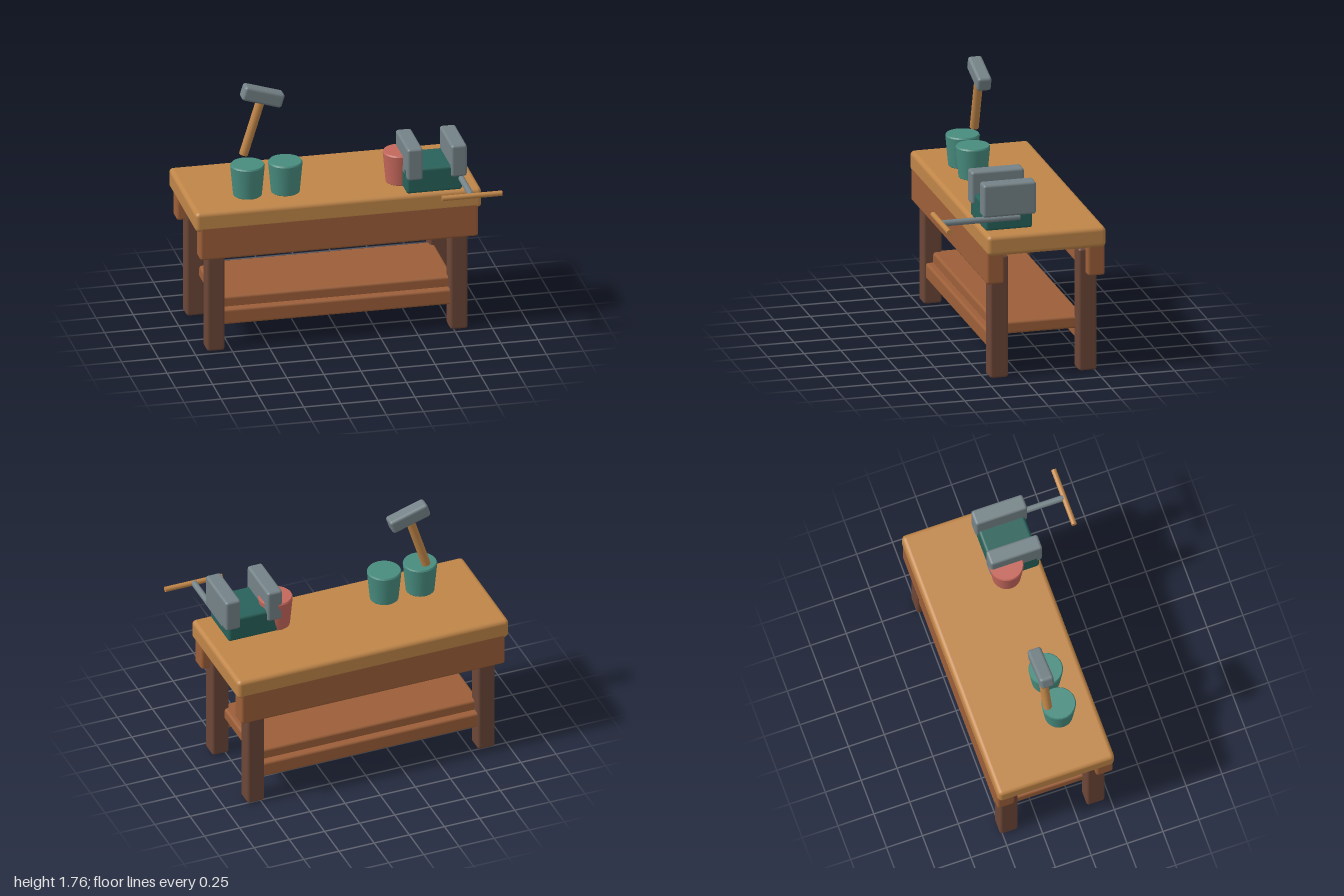
import * as THREE from 'three';
import { RoundedBoxGeometry } from 'three/addons/geometries/RoundedBoxGeometry.js';

const paint = (name, color) => {
  const m = new THREE.MeshStandardMaterial({ color });
  m.name = name;
  return m;
};

export function createModel() {
  const model = new THREE.Group();
  model.name = 'workbench';

  const lightWood = paint('light wood', 0xbf8548);
  const midWood = paint('mid wood', 0x9c5f39);
  const darkWood = paint('dark wood', 0x6b4637);
  const steel = paint('steel', 0x748287);
  const green = paint('cup green', 0x488c7f);
  const darkGreen = paint('dark green', 0x28625a);
  const red = paint('cup red', 0xc4675b);

  // Rounded box given by its limits on each axis
  function box(name, mat, [x0, x1], [y0, y1], [z0, z1], r = 0.018, parent = model) {
    const geo = new RoundedBoxGeometry(x1 - x0, y1 - y0, z1 - z0, 3, r);
    const mesh = new THREE.Mesh(geo, mat);
    mesh.name = name;
    mesh.position.set((x0 + x1) / 2, (y0 + y1) / 2, (z0 + z1) / 2);
    parent.add(mesh);
    return mesh;
  }

  // Round bar between two points
  function bar(name, mat, from, to, r, parent = model) {
    const a = new THREE.Vector3(...from), b = new THREE.Vector3(...to);
    const dir = b.clone().sub(a);
    const mesh = new THREE.Mesh(new THREE.CylinderGeometry(r, r, dir.length(), 20), mat);
    mesh.name = name;
    mesh.position.copy(a).add(b).multiplyScalar(0.5);
    mesh.quaternion.setFromUnitVectors(new THREE.Vector3(0, 1, 0), dir.normalize());
    parent.add(mesh);
  }

  // Bench top
  box('benchTop', lightWood, [-1, 0.93], [0.87, 1.01], [-0.555, 0.255], 0.03);

  // Front and back: apron, low rail and a pair of legs, mirrored about z = -0.15
  for (const [side, s] of [['front', 1], ['back', -1]]) {
    const z = (near, far) => [-0.15 + s * near, -0.15 + s * far].sort((a, b) => a - b);
    box(side + 'Apron', midWood, [-0.97, 0.905], [0.67, 0.925], z(0.285, 0.404));
    box(side + 'Rail', midWood, [-0.83, 0.76], [0.175, 0.285], z(0.26, 0.35));
    box(side + 'LeftLeg', darkWood, [0.725, 0.845], [0, 0.845], z(0.24, 0.365));
    box(side + 'RightLeg', darkWood, [-0.915, -0.795], [0, 0.845], z(0.24, 0.365));
  }
  box('shelf', midWood, [-0.83, 0.76], [0.27, 0.355], [-0.45, 0.15]);

  // Cups: solid tapered pots with a softened top edge
  const cupProfile = [[0, 0], [0.09, 0], [0.095, 0.005], [0.095, 0.005], [0.114, 0.21],
    [0.114, 0.21], [0.108, 0.22], [0.108, 0.22], [0, 0.22]];
  const cupGeo = new THREE.LatheGeometry(cupProfile.map(([x, y]) => new THREE.Vector2(x, y)), 32);
  for (const [name, x, mat] of [['rightCup', -0.595, green], ['middleCup', -0.34, green], ['leftCup', 0.433, red]]) {
    const cup = new THREE.Mesh(cupGeo, mat);
    cup.name = name;
    cup.position.set(x, 1.008, 0.005);
    model.add(cup);
  }

  // Vise
  const vise = new THREE.Group();
  vise.name = 'vise';
  model.add(vise);
  box('viseBody', darkGreen, [0.427, 0.803], [1.005, 1.182], [-0.087, 0.235], 0.02, vise);
  box('innerJaw', steel, [0.427, 0.533], [1.107, 1.332], [-0.105, 0.255], 0.018, vise);
  box('outerJaw', steel, [0.723, 0.83], [1.107, 1.332], [-0.105, 0.255], 0.018, vise);
  bar('viseScrew', steel, [0.795, 1.087, 0], [0.795, 1.087, 0.53], 0.021, vise);
  bar('viseHandle', lightWood, [0.595, 1.087, 0.535], [1, 1.087, 0.535], 0.018, vise);

  // Hammer, leaning sideways as one piece
  const hammer = new THREE.Group();
  hammer.name = 'hammer';
  hammer.position.set(-0.477, 1.672, -0.077);
  hammer.rotation.z = -0.3;
  model.add(hammer);
  box('hammerHead', steel, [-0.14, 0.14], [-0.05, 0.05], [-0.048, 0.048], 0.02, hammer);
  bar('hammerHandle', lightWood, [0, -0.43, 0], [0, 0, 0], 0.03, hammer);

  return model;
}
